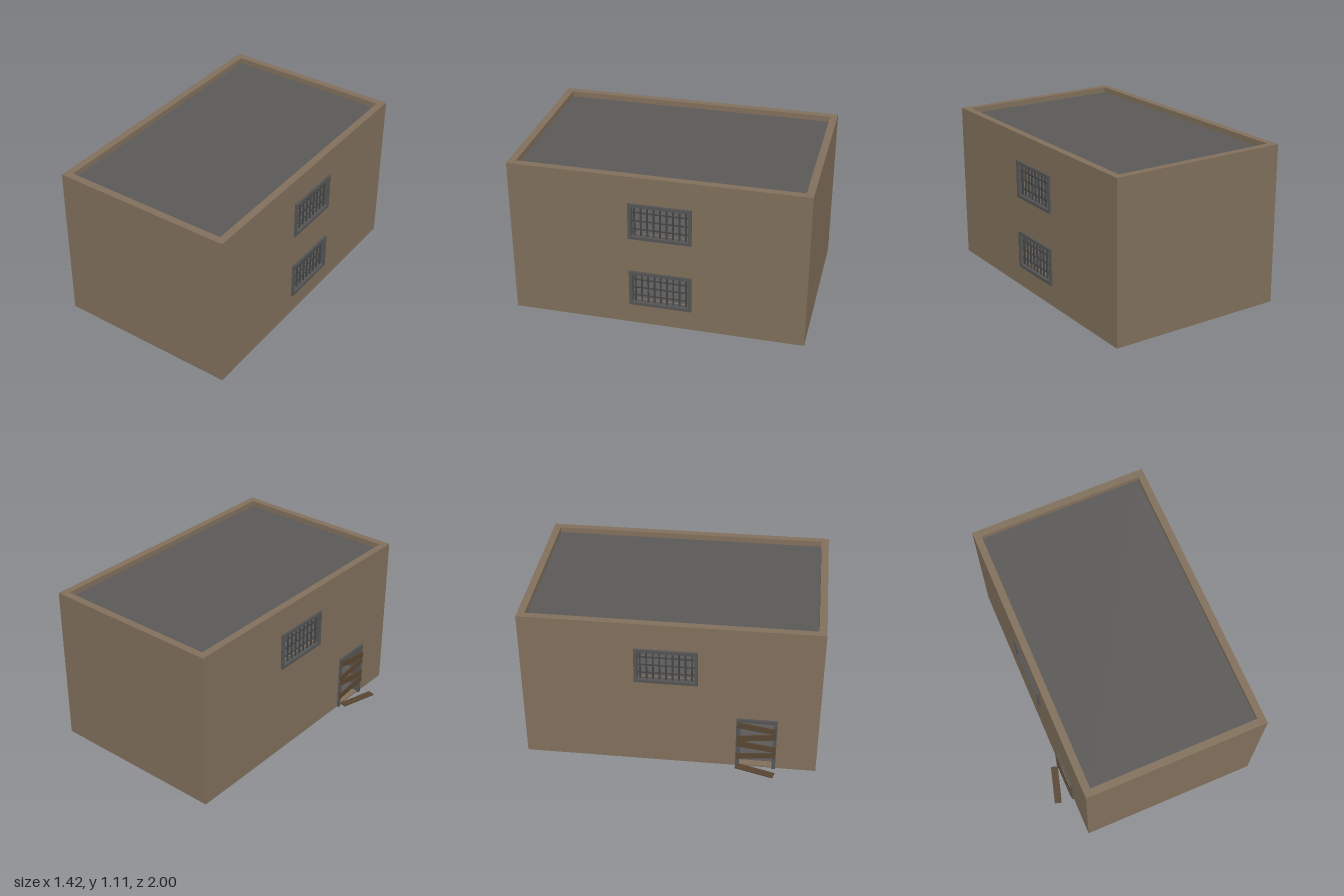
import * as THREE from 'three';

const X0 = -0.565, X1 = 0.695, H = 1.11, ROOF = 1.07, WALL = 0.05;
const CX = (X0 + X1) / 2, WZ = -0.025, WIN_Y = [0.28, 0.79];
const DOOR_Z = 0.587;

export function createModel() {
  const mat = (name, color) => new THREE.MeshStandardMaterial({ name, color });
  const wallMat = mat('tan plaster', 0x806f5b);
  const greyMat = mat('grey concrete', 0x5a5958);
  const frameMat = mat('dark metal frame', 0x545454);
  const barMat = mat('window bars', 0x444444);
  const woodMat = mat('old wood', 0x584531);

  const model = new THREE.Group();
  model.name = 'building';
  const add = (parent, name, geo, m, x = 0, y = 0, z = 0) => {
    const mesh = new THREE.Mesh(geo, m);
    mesh.name = name;
    mesh.position.set(x, y, z);
    parent.add(mesh);
    return mesh;
  };
  const box = (parent, name, m, w, h, d, x, y, z) =>
    add(parent, name, new THREE.BoxGeometry(w, h, d), m, x, y, z);

  const rect = (C, z0, z1, y0, y1) =>
    new C([[z0, y0], [z1, y0], [z1, y1], [z0, y1]].map(p => new THREE.Vector2(...p)));
  // Flat panel in the z-y plane, from x = 0 back to x = -depth
  const panel = (shape, depth) =>
    new THREE.ExtrudeGeometry(shape, { depth, bevelEnabled: false }).rotateY(-Math.PI / 2);

  // Side walls with window and door openings, plus a grey inner lining
  const sideWall = (hasDoor, z, y0, y1, levels) => {
    const s = rect(THREE.Shape, -z, z, y0, y1);
    if (hasDoor) {
      const [a, b] = [DOOR_Z - 0.115, DOOR_Z + 0.115];
      s.holes.push(rect(THREE.Path, a, b, 0.012, 0.39));
    }
    levels.forEach(y => s.holes.push(rect(THREE.Path, WZ - 0.2, WZ + 0.2, y - 0.115, y + 0.115)));
    return s;
  };
  add(model, 'leftWall', panel(sideWall(false, 1, 0, H, WIN_Y), WALL), wallMat, X1);
  add(model, 'rightWall', panel(sideWall(true, 1, 0, H, [WIN_Y[1]]), WALL), wallMat, X0 + WALL);
  add(model, 'leftLining', panel(sideWall(false, 0.95, 0.005, ROOF - 0.01, WIN_Y), 0.005), greyMat, X1 - WALL);
  add(model, 'rightLining', panel(sideWall(true, 0.95, 0.005, ROOF - 0.01, [WIN_Y[1]]), 0.005), greyMat, X0 + WALL + 0.005);

  // End walls, base, floors and roof
  const inner = X1 - X0 - 2 * WALL;
  for (const [s, name] of [[1, 'front'], [-1, 'back']]) {
    box(model, name + 'Wall', wallMat, inner, H, WALL, CX, H / 2, s * (1 - WALL / 2));
    box(model, name + 'Lining', greyMat, inner, ROOF - 0.02, 0.005, CX, ROOF / 2, s * (0.9475));
  }
  box(model, 'base', wallMat, inner, 0.005, 1.9, CX, 0.0025, 0);
  box(model, 'groundFloor', greyMat, inner, 0.006, 1.9, CX, 0.008, 0);
  box(model, 'upperFloor', greyMat, inner, 0.03, 1.9, CX, 0.535, 0);
  box(model, 'roof', greyMat, inner, 0.03, 1.9, CX, ROOF - 0.015, 0);

  // Barred window; side is +1 or -1 along x
  const windowUnit = (name, side, y) => {
    const g = new THREE.Group();
    g.name = name;
    const f = rect(THREE.Shape, -0.212, 0.212, -0.13, 0.13);
    f.holes.push(rect(THREE.Path, -0.19, 0.19, -0.108, 0.108));
    add(g, 'frame', panel(f, 0.045), frameMat, 0.014);
    for (let i = 0; i < 9; i++)
      box(g, 'uprightBar', barMat, 0.01, 0.22, 0.01, -0.01, 0, -0.172 + i * 0.043);
    for (let i = -1; i <= 1; i++)
      box(g, 'crossBar', barMat, 0.008, 0.008, 0.385, -0.01, i * 0.061, 0);
    g.position.set(side > 0 ? X1 : X0, y, WZ);
    if (side < 0) g.rotation.y = Math.PI;
    model.add(g);
  };
  windowUnit('leftLowerWindow', 1, WIN_Y[0]);
  windowUnit('leftUpperWindow', 1, WIN_Y[1]);
  windowUnit('rightUpperWindow', -1, WIN_Y[1]);

  // Boarded-up doorway
  const door = new THREE.Group();
  door.name = 'doorway';
  for (const s of [-1, 1])
    box(door, 'doorJamb', frameMat, 0.07, 0.408, 0.025, X0 + 0.022, 0.204, DOOR_Z + s * 0.125);
  box(door, 'doorLintel', frameMat, 0.07, 0.025, 0.225, X0 + 0.022, 0.3955, DOOR_Z);
  const boards = [[0.345, 0.16], [0.265, -0.12], [0.19, 0.14], [0.11, -0.1]];
  for (const [y, tilt] of boards)
    box(door, 'doorBoard', woodMat, 0.008, 0.045, 0.265, X0 - 0.018, y, DOOR_Z).rotation.x = tilt;
  model.add(door);

  // Loose plank lying outside the door
  box(model, 'loosePlank', woodMat, 0.05, 0.008, 0.27, -0.645, 0.031, DOOR_Z).rotation.y = -0.28;

  return model;
}
